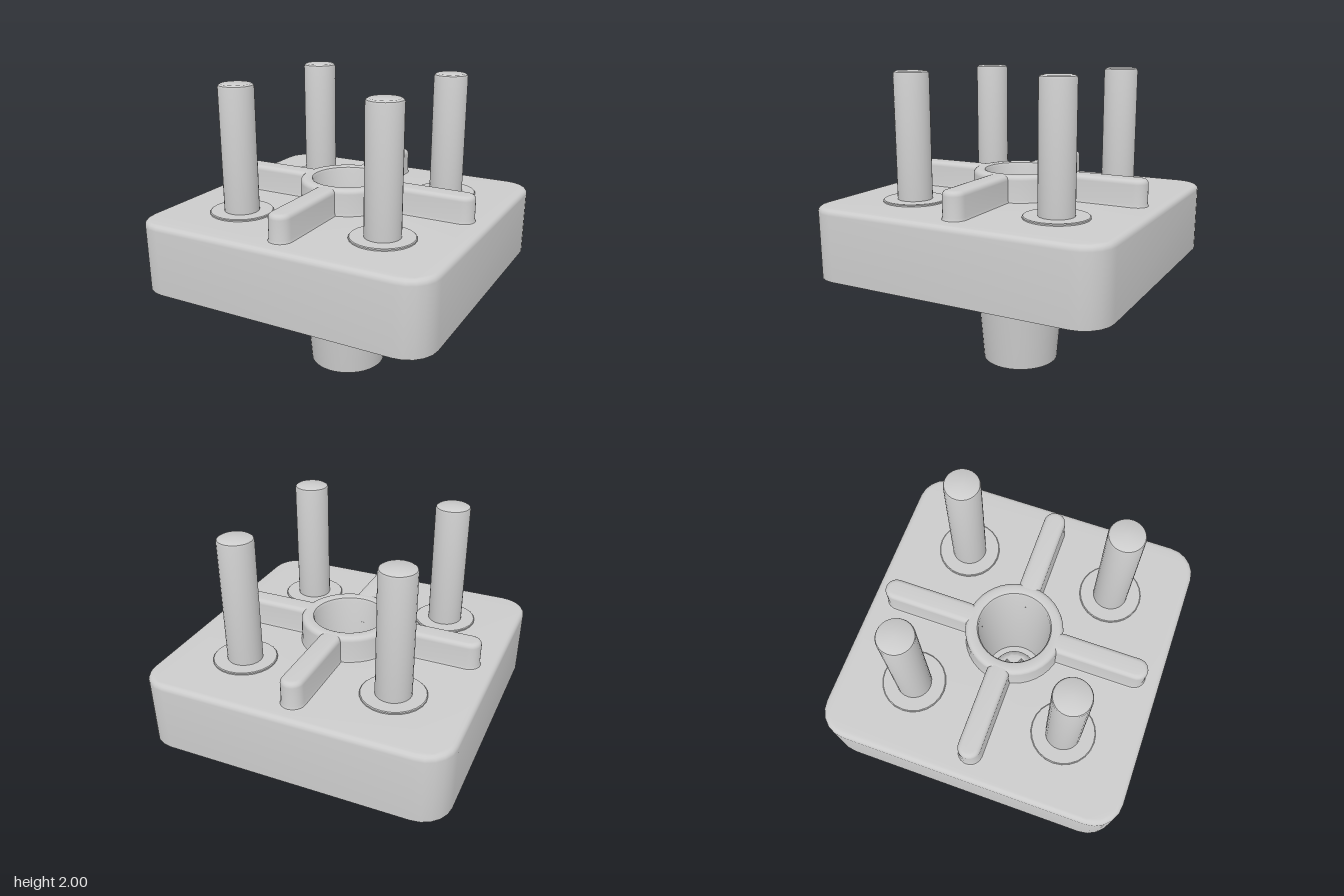
import * as THREE from 'three';
import { mergeGeometries, toCreasedNormals } from 'three/addons/utils/BufferGeometryUtils.js';

const material = new THREE.MeshStandardMaterial({ color: 0xcccccc });
const CREASE = 0.6;

function addMesh(parent, geometry, name) {
  const mesh = new THREE.Mesh(toCreasedNormals(geometry, CREASE), material);
  mesh.name = name;
  parent.add(mesh);
  return mesh;
}

const lathe = (points, segments) =>
  new THREE.LatheGeometry(points.map(([r, y]) => new THREE.Vector2(r, y)), segments);

// Flat cap over an outline, facing up or down, with an optional hole
function cap(outline, y, up, hole) {
  const shape = new THREE.Shape(outline);
  if (hole) shape.holes.push(new THREE.Path(hole));
  const g = new THREE.ShapeGeometry(shape).toNonIndexed();
  g.deleteAttribute('uv');
  g.deleteAttribute('normal');
  return g.rotateX(up ? -Math.PI / 2 : Math.PI / 2).translate(0, y, 0);
}

// Sides joining outlines stacked from bottom to top; y may be a number or a function of the point
function sides(layers) {
  const pos = [];
  const put = ([outline, y], i) => {
    const p = outline[i % outline.length];
    pos.push(p.x, typeof y === 'function' ? y(p) : y, -p.y);
  };
  for (let k = 0; k < layers.length - 1; k++) {
    const [low, high] = [layers[k], layers[k + 1]];
    for (let i = 0; i < low[0].length; i++) {
      put(low, i); put(low, i + 1); put(high, i + 1);
      put(low, i); put(high, i + 1); put(high, i);
    }
  }
  return new THREE.BufferGeometry().setAttribute('position', new THREE.Float32BufferAttribute(pos, 3));
}

// Rounded rectangle, counter-clockwise
function roundedRect(hx, hy, r, segments) {
  const points = [];
  for (let q = 0; q < 4; q++) {
    const sx = q === 0 || q === 3 ? 1 : -1;
    const sy = q < 2 ? 1 : -1;
    for (let i = 0; i <= segments; i++) {
      const a = (q + i / segments) * Math.PI / 2;
      points.push(new THREE.Vector2(sx * (hx - r) + r * Math.cos(a), sy * (hy - r) + r * Math.sin(a)));
    }
  }
  return points;
}

// Outline made from a radius rule
const polar = (radius, n) => Array.from({ length: n }, (_, i) => {
  const a = i / n * Math.PI * 2;
  return new THREE.Vector2(Math.cos(a), Math.sin(a)).multiplyScalar(radius(a));
});

// Quarter-round top edge as [inset, y] pairs
const roundEdge = (top, r) => Array.from({ length: 5 }, (_, i) => {
  const a = i / 4 * Math.PI / 2;
  return [r * (1 - Math.cos(a)), top - r + r * Math.sin(a)];
});

function addPlate(model) {
  const layers = [[0, 0.71], ...roundEdge(1.175, 0.035)].map(
    ([inset, y]) => [roundedRect(0.995 - inset, 0.995 - inset, 0.19 - inset, 5), y]);
  const hole = polar(() => 0.27, 32);
  const top = layers[layers.length - 1];
  addMesh(model, mergeGeometries([
    sides(layers), cap(layers[0][0], 0.71, false, hole), cap(top[0], top[1], true, hole),
  ]), 'plate');
}

// Tapered stem, stepped bore and raised collar in one turned profile
function addStem(model) {
  const rim = roundEdge(1.35, 0.03);
  addMesh(model, lathe([
    [0.12, 0], [0.26, 0], [0.315, 0.71], [0.335, 1.17], [0.321, 1.177], [0.315, 1.195],
    ...rim.map(([inset, y]) => [0.315 - inset, y]),
    [0.25, 1.35], [0.238, 1.345], [0.23, 1.33], [0.215, 0.4], [0.12, 0.4], [0.12, 0],
  ], 40), 'stemAndCollar');
}

function addRibs(model) {
  const inner = 0.245, outer = 0.89;
  const layers = [[-0.02, 1.172], [-0.006, 1.178], [0, 1.195], ...roundEdge(1.35, 0.03)].map(
    ([inset, y]) => [roundedRect((outer - inner) / 2 - inset, 0.072 - inset, 0.072 - inset, 6), y]);
  const top = layers[layers.length - 1];
  const geometry = mergeGeometries([sides(layers), cap(top[0], top[1], true)])
    .translate((inner + outer) / 2, 0, 0);
  for (let i = 0; i < 4; i++) addMesh(model, geometry, 'rib').rotation.y = i * Math.PI / 2;
}

function addBolts(model) {
  const shaft = lathe([[0.113, 1.15], [0.113, 1.98], [0.108, 1.992], [0.095, 2], [0, 2]], 28);
  const washer = lathe([[0.205, 1.16], [0.205, 1.183], [0.2, 1.188], [0.1, 1.188]], 24);
  // Hexagon head whose corners are cut by a cone
  const hexRadius = a => {
    const sector = Math.PI / 3;
    return 0.192 / Math.cos(((a % sector) + sector) % sector - sector / 2);
  };
  const hex = polar(hexRadius, 48);
  const face = polar(() => 0.165, 48);
  const head = mergeGeometries([
    sides([[face, 0.655], [hex, p => 0.655 + (p.length() - 0.165) * 0.6], [hex, 0.72]]),
    cap(face, 0.655, false),
  ]).rotateY(Math.PI / 2);
  for (const x of [-0.505, 0.505]) for (const z of [-0.505, 0.505]) {
    const bolt = new THREE.Group();
    bolt.name = 'bolt';
    bolt.position.set(x, 0, z);
    addMesh(bolt, shaft, 'boltShaft');
    addMesh(bolt, washer, 'washer');
    addMesh(bolt, head, 'hexHead');
    model.add(bolt);
  }
}

// Domed cross-slot screw at the bottom of the bore
function addScrew(model) {
  const w = 0.018, l = 0.095;
  const arm = [[l, -w], [l, w], [w, w]];
  const slot = [];
  for (let q = 0; q < 4; q++) for (const [x, y] of arm) {
    slot.push(new THREE.Vector2(x, y).rotateAround(new THREE.Vector2(), q * Math.PI / 2));
  }
  const profile = [[0.165, 0.4], [0.165, 0.43], [0.155, 0.46], [0.135, 0.485], [0.11, 0.5]];
  const layers = profile.map(([r, y]) => [polar(() => r, 32), y]);
  const inward = [...slot].reverse();
  const screw = new THREE.Group();
  screw.name = 'screw';
  screw.rotation.y = -0.43;
  addMesh(screw, mergeGeometries([
    sides(layers), cap(layers[4][0], 0.5, true, slot),
    sides([[inward, 0.46], [inward, 0.5]]), cap(slot, 0.46, true),
  ]), 'screwHead');
  addMesh(screw, lathe([[0, 0.2], [0.09, 0.2], [0.09, 0.41]], 24), 'screwShank');
  model.add(screw);
}

export function createModel() {
  const model = new THREE.Group();
  model.name = 'mountingPlate';
  addPlate(model);
  addStem(model);
  addRibs(model);
  addBolts(model);
  addScrew(model);
  return model;
}
